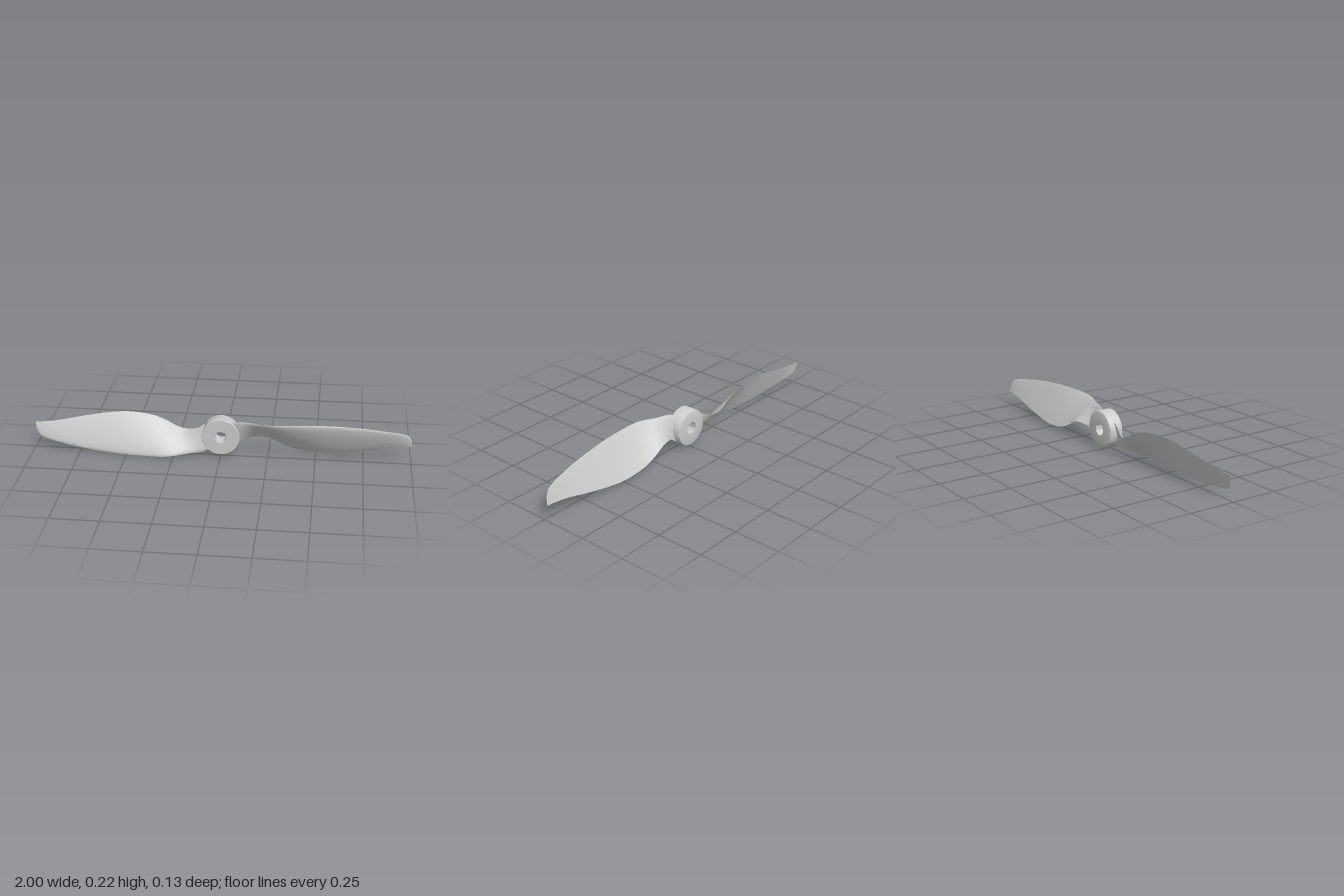
import * as THREE from 'three';
import { toCreasedNormals } from 'three/addons/utils/BufferGeometryUtils.js';

const AXIS_Y = 0.113;

// Blade stations: x, leading edge y z, trailing edge y z, bulge to front and back
const STATIONS = [
  [0.05, 0.185, -0.01, 0.06, -0.035, 0.012, 0.012],
  [0.09, 0.203, 0.008, 0.062, -0.03, 0.014, 0.012],
  [0.13, 0.208, 0.018, 0.088, -0.036, 0.014, 0.010],
  [0.19, 0.210, 0.036, 0.104, -0.058, 0.014, 0.007],
  [0.24, 0.214, 0.055, 0.095, -0.066, 0.015, 0.005],
  [0.30, 0.219, 0.063, 0.062, -0.066, 0.019, 0.003],
  [0.38, 0.222, 0.059, 0.033, -0.063, 0.022, 0.002],
  [0.50, 0.223, 0.050, 0.018, -0.056, 0.022, 0.002],
  [0.62, 0.218, 0.038, 0.027, -0.047, 0.019, 0.002],
  [0.75, 0.206, 0.025, 0.050, -0.039, 0.015, 0.002],
  [0.87, 0.188, 0.010, 0.075, -0.031, 0.010, 0.002],
  [0.95, 0.172, -0.004, 0.086, -0.028, 0.007, 0.002],
  [0.98, 0.157, -0.012, 0.088, -0.027, 0.005, 0.001],
  [0.993, 0.135, -0.017, 0.088, -0.027, 0.003, 0.001],
  [1.0, 0.105, -0.023, 0.088, -0.027, 0.001, 0.0005],
];

function bladeGeometry() {
  const curve = (pick) => new THREE.CatmullRomCurve3(
    STATIONS.map((s) => new THREE.Vector3(...pick(s))), false, 'catmullrom', 0.5);
  const lead = curve((s) => [s[0], s[1], s[2]]);
  const trail = curve((s) => [s[0], s[3], s[4]]);
  const bulge = curve((s) => [s[0], s[5], s[6]]);

  // Rounded nose, tapering to a thin trailing edge
  const foil = (u) => 1.6 * Math.sqrt(u) * (1 - u) ** 0.8 / 0.99;
  const rings = 84, half = 16, n = half * 2;
  const pos = [], index = [];
  for (let i = 0; i <= rings; i++) {
    const t = i / rings;
    const a = lead.getPoint(t), b = trail.getPoint(t), k = bulge.getPoint(t);
    const cy = b.y - a.y, cz = b.z - a.z, len = Math.hypot(cy, cz);
    for (let j = 0; j < n; j++) {
      const u = (1 - Math.cos((j / half) * Math.PI)) / 2;
      const off = foil(u) * (j <= half ? k.y : -k.z);
      pos.push(a.x, a.y + cy * u + (cz / len) * off - AXIS_Y, a.z + cz * u - (cy / len) * off);
    }
  }
  for (let i = 0; i < rings; i++) {
    for (let j = 0; j < n; j++) {
      const a = i * n + j, b = i * n + ((j + 1) % n);
      index.push(a, b, a + n, b, b + n, a + n);
    }
  }
  // Close the tip and the root
  const tip = rings * n;
  for (let j = 1; j < n - 1; j++) {
    index.push(tip, tip + j, tip + j + 1);
    index.push(0, j + 1, j);
  }
  const g = new THREE.BufferGeometry();
  g.setAttribute('position', new THREE.Float32BufferAttribute(pos, 3));
  g.setIndex(index);
  return toCreasedNormals(g, 0.9);
}

function hubGeometry() {
  const hole = 0.033, r = 0.1, back = -0.063, front = 0.014;
  const profile = [
    [hole, back], [r - 0.012, back], [r - 0.004, back + 0.003], [r, back + 0.011],
    [r, front - 0.002], [r - 0.002, front], [hole, front], [hole, back],
  ].map(([x, y]) => new THREE.Vector2(x, y));
  const g = new THREE.LatheGeometry(profile, 64);
  g.rotateX(Math.PI / 2);
  return toCreasedNormals(g, 0.5);
}

export function createModel() {
  const group = new THREE.Group();
  group.name = 'propeller';
  const material = new THREE.MeshStandardMaterial({ color: 0xcccccc });

  const hub = new THREE.Mesh(hubGeometry(), material);
  hub.name = 'hub';
  hub.position.y = AXIS_Y;
  group.add(hub);

  // Two identical blades, half a turn apart
  const blade = bladeGeometry();
  ['leftBlade', 'rightBlade'].forEach((name, i) => {
    const mesh = new THREE.Mesh(blade, material);
    mesh.name = name;
    mesh.position.y = AXIS_Y;
    mesh.rotation.z = i * Math.PI;
    group.add(mesh);
  });
  return group;
}
